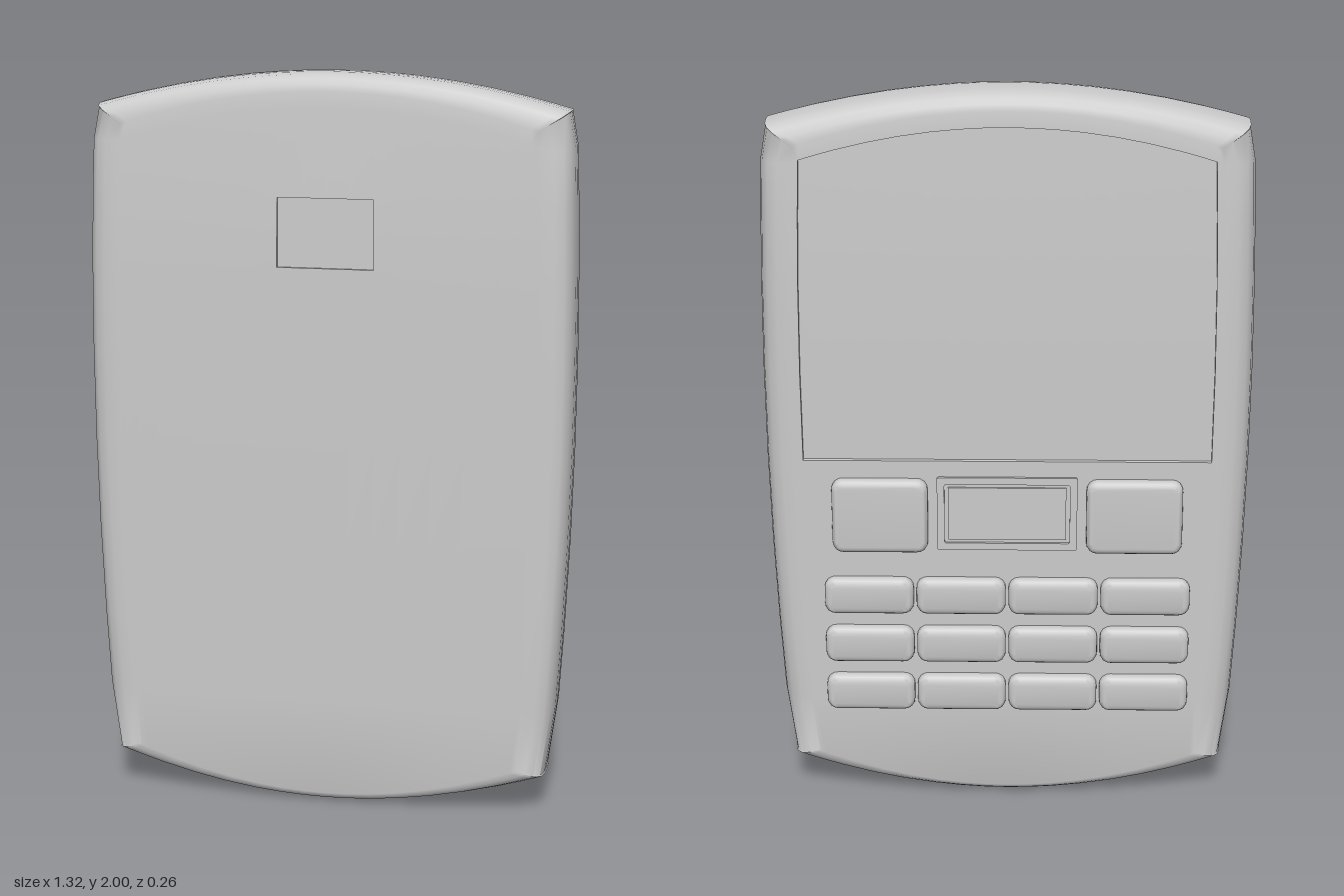
import * as THREE from 'three';
import { toCreasedNormals } from 'three/addons/utils/BufferGeometryUtils.js';

const material = new THREE.MeshStandardMaterial({ color: 0xcccccc });

// Outline of the case: bowed sides, arched top, curved bottom
const halfWidth = (y) => 0.658 - (y < 1.25 ? 0.046 * ((1.25 - y) / 1.15) ** 2 : 0.015 * ((y - 1.25) / 0.65) ** 2);
const topEdge = (u) => 2 - 0.095 * u * u;
const bottomEdge = (u) => 0.107 * u * u;
const taper = (y) => 1 - 0.16 * (Math.max(0, y - 1.4) / 0.6) ** 2;

// Shared grid: columns across the width, rows up the height
const half = [0.11, 0.226, 0.35, 0.5, 0.65, 0.8, 0.9, 0.955, 0.985, 1];
const columns = [...half.map((u) => -u).reverse(), 0, ...half];
const levels = [0, 0.3, 0.5, 0.75, 1.0, 1.25, 1.49, 1.675, 0, 0];
const last = levels.length - 1;

function point(i, j, inset, z) {
  const u = columns[i];
  const top = topEdge(u) - inset * 0.6;
  let y = levels[j];
  if (j === 0) y = bottomEdge(u) + inset * 0.3;
  if (j === last) y = top;
  if (j === last - 1) y = topEdge(u) - 0.09;
  const corner = Math.abs(u) === 1 && (j === 0 || j === last) ? 0.012 : 0;
  return [u * (halfWidth(y) - inset - corner), y, z * taper(y)];
}

function quad(out, a, b, c, d, flip) {
  const order = flip ? [a, c, b, a, d, c] : [a, b, c, a, c, d];
  order.forEach((p) => out.push(...p));
}

// Face of the case with one recessed panel; walls join it to the face
function cap(shell, floor, inset, z, holeU, rowLow, rowHigh, depth) {
  const back = z < 0;
  const sunk = (i, j) => j >= rowLow && j < rowHigh &&
    Math.abs(columns[i] + columns[i + 1]) / 2 < holeU;
  const deep = (p) => [p[0], p[1], p[2] + (back ? depth : -depth)];
  for (let i = 0; i < columns.length - 1; i++) {
    for (let j = 0; j < last; j++) {
      const p = [[i, j], [i + 1, j], [i + 1, j + 1], [i, j + 1]].map(([a, b]) => point(a, b, inset, z));
      if (!sunk(i, j)) {
        quad(shell, ...p, back);
        continue;
      }
      quad(floor, ...p.map(deep), back);
      [[i, j - 1], [i + 1, j], [i, j + 1], [i - 1, j]].forEach(([a, b], k) => {
        const q = p[(k + 1) % 4];
        if (!sunk(a, b)) quad(shell, p[k], q, deep(q), deep(p[k]), back);
      });
    }
  }
}

function addMesh(group, name, geometry, crease = 0.8) {
  const mesh = new THREE.Mesh(toCreasedNormals(geometry, crease), material);
  mesh.name = name;
  group.add(mesh);
  return mesh;
}

function fromTriangles(values) {
  const geometry = new THREE.BufferGeometry();
  geometry.setAttribute('position', new THREE.Float32BufferAttribute(values, 3));
  return geometry;
}

function roundedRect(Type, w, h, r) {
  const s = new Type();
  const x = w / 2, y = h / 2;
  s.moveTo(-x + r, -y);
  s.lineTo(x - r, -y);
  s.quadraticCurveTo(x, -y, x, -y + r);
  s.lineTo(x, y - r);
  s.quadraticCurveTo(x, y, x - r, y);
  s.lineTo(-x + r, y);
  s.quadraticCurveTo(-x, y, -x, y - r);
  s.lineTo(-x, -y + r);
  s.quadraticCurveTo(-x, -y, -x + r, -y);
  return s;
}

// Soft-edged key standing on the keypad face, pointing to -z
function addKey(group, name, x, y, w, h) {
  const bevel = 0.018;
  const shape = roundedRect(THREE.Shape, w - 2 * bevel, h - 2 * bevel, 0.014);
  const geometry = new THREE.ExtrudeGeometry(shape, {
    depth: 0.025, bevelSize: bevel, bevelThickness: bevel, bevelSegments: 4, curveSegments: 4,
  });
  const key = addMesh(group, name, geometry, 1);
  key.rotation.y = Math.PI;
  key.position.set(x, y, -0.091);
}

export function createModel() {
  const model = new THREE.Group();
  model.name = 'handheldPhone';

  // Rounded rim: loops of [z, inset] from front to back
  const profile = [[0.131, 0.08], [0.128, 0.05], [0.119, 0.025], [0.1, 0.009], [0.06, 0.001],
    [0.02, 0], [-0.03, 0.002], [-0.065, 0.009], [-0.088, 0.025], [-0.1, 0.05], [-0.104, 0.08]];
  const n = columns.length - 1;
  const rim = [];
  for (let i = 0; i < n; i++) rim.push([i, 0]);
  for (let j = 0; j < last; j++) rim.push([n, j]);
  for (let i = n; i > 0; i--) rim.push([i, last]);
  for (let j = last; j > 0; j--) rim.push([0, j]);
  const shell = [], screen = [], panel = [];
  for (let k = 0; k < profile.length - 1; k++) {
    const [z0, in0] = profile[k], [z1, in1] = profile[k + 1];
    rim.forEach((a, m) => {
      const b = rim[(m + 1) % rim.length];
      quad(shell, point(...a, in0, z0), point(...a, in1, z1), point(...b, in1, z1), point(...b, in0, z0));
    });
  }

  // Plain face with its small panel, keypad face with the screen
  cap(shell, panel, 0.08, 0.131, 0.226, 6, 7, 0.008);
  cap(shell, screen, 0.08, -0.104, 0.955, 4, last - 1, 0.014);
  addMesh(model, 'case', fromTriangles(shell));
  addMesh(model, 'smallPanel', fromTriangles(panel));
  addMesh(model, 'screen', fromTriangles(screen));

  // Two large keys beside the touch pad
  for (const side of [-1, 1]) addKey(model, 'largeKey', side * 0.345, 0.845, 0.26, 0.21);

  // Touch pad in a thin frame
  const frameShape = roundedRect(THREE.Shape, 0.38, 0.21, 0.006);
  frameShape.holes.push(roundedRect(THREE.Path, 0.34, 0.17, 0.006));
  const frame = addMesh(model, 'touchPadFrame', new THREE.ExtrudeGeometry(frameShape, { depth: 0.012, bevelEnabled: false }));
  frame.position.set(0, 0.85, -0.112);
  const pad = addMesh(model, 'touchPad', new THREE.BoxGeometry(0.32, 0.15, 0.012));
  pad.position.set(0, 0.85, -0.104);

  // Three rows of four small keys
  for (const y of [0.61, 0.465, 0.32]) {
    for (let c = 0; c < 4; c++) addKey(model, 'smallKey', (c - 1.5) * 0.252, y, 0.244, 0.104);
  }
  return model;
}
